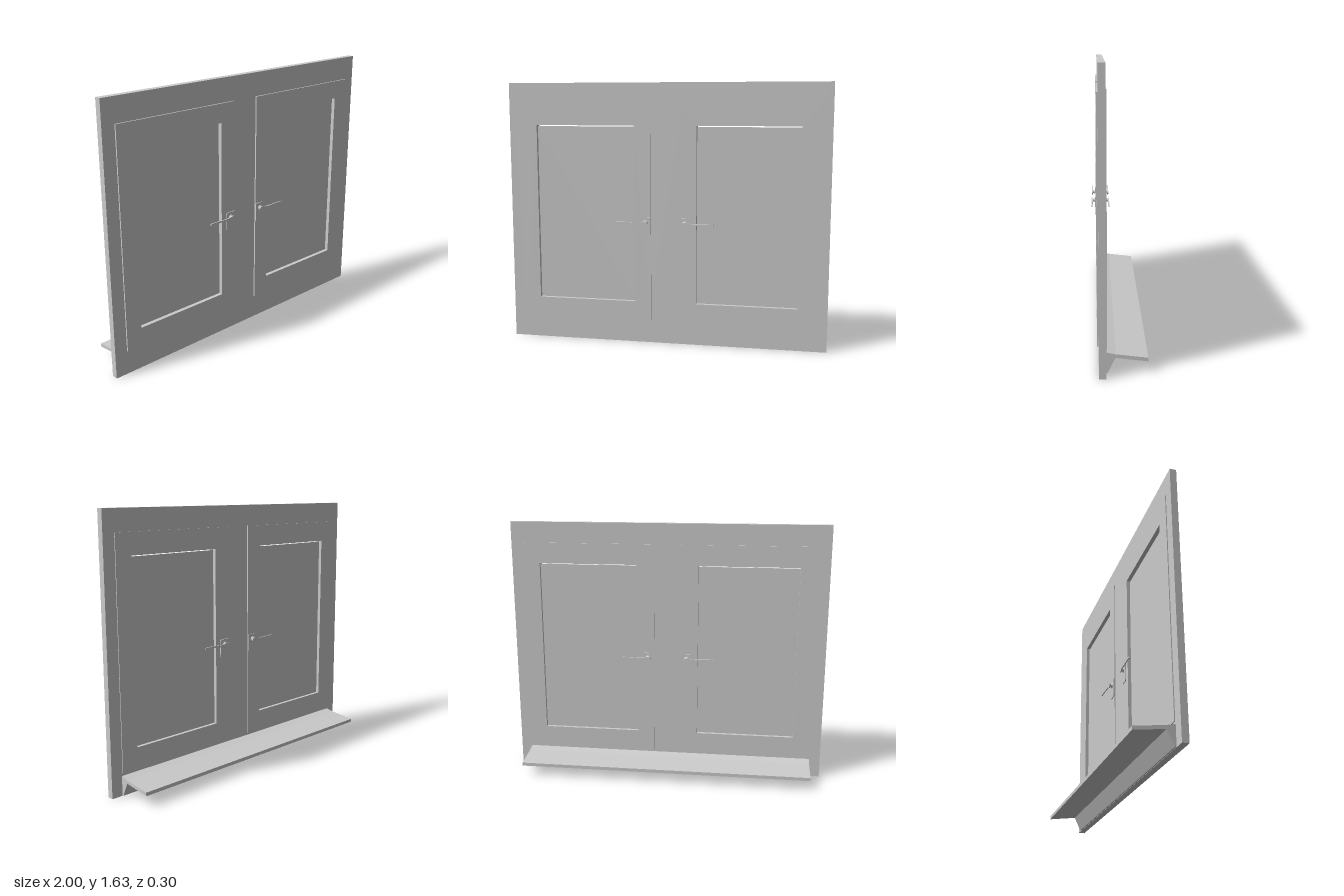
import * as THREE from 'three';

const material = new THREE.MeshStandardMaterial({ color: 0xcccccc, side: THREE.DoubleSide });

function add(parent, name, geometry) {
  const mesh = new THREE.Mesh(geometry, material);
  mesh.name = name;
  parent.add(mesh);
  return mesh;
}

function rect(PathType, x0, x1, y0, y1) {
  const p = new PathType();
  p.moveTo(x0, y0);
  p.lineTo(x1, y0);
  p.lineTo(x1, y1);
  p.lineTo(x0, y1);
  p.closePath();
  return p;
}

// Flat slab between z0 and z1 with rectangular openings
function slab(outer, holes, z0, z1) {
  const shape = rect(THREE.Shape, ...outer);
  shape.holes = holes.map((h) => rect(THREE.Path, ...h));
  return new THREE.ExtrudeGeometry(shape, { depth: z1 - z0, bevelEnabled: false }).translate(0, 0, z0);
}

// Handle facing +z, lever pointing along +x, mounting face at z = 0
function createHandle(name) {
  const handle = new THREE.Group();
  handle.name = name;

  // Back plate with rounded lower corners
  const plate = new THREE.Shape();
  plate.moveTo(-0.035, 0.035);
  plate.lineTo(-0.035, -0.07);
  plate.quadraticCurveTo(-0.035, -0.085, -0.02, -0.087);
  plate.lineTo(0.02, -0.087);
  plate.quadraticCurveTo(0.035, -0.085, 0.035, -0.07);
  plate.lineTo(0.035, 0.02);
  plate.quadraticCurveTo(0.035, 0.033, 0.02, 0.035);
  plate.closePath();
  add(handle, 'handlePlate', new THREE.ExtrudeGeometry(plate, { depth: 0.005, bevelEnabled: false }));

  // Flared spindle
  const profile = [[0.018, 0], [0.018, 0.006], [0.01, 0.01], [0.01, 0.018], [0.014, 0.023]]
    .map(([r, y]) => new THREE.Vector2(r, y));
  add(handle, 'handleSpindle', new THREE.LatheGeometry(profile, 16).rotateX(Math.PI / 2));

  // Gently waved lever with a rounded hub
  const lever = new THREE.Shape();
  lever.moveTo(-0.02, -0.004);
  lever.bezierCurveTo(-0.02, 0.016, 0.005, 0.018, 0.025, 0.008);
  lever.bezierCurveTo(0.07, 0.002, 0.12, 0.012, 0.178, 0.007);
  lever.lineTo(0.178, -0.004);
  lever.bezierCurveTo(0.12, 0.002, 0.07, -0.008, 0.025, -0.006);
  lever.bezierCurveTo(0.005, -0.024, -0.018, -0.02, -0.02, -0.004);
  add(handle, 'handleLever',
    new THREE.ExtrudeGeometry(lever, { depth: 0.007, bevelEnabled: false, curveSegments: 8 }).translate(0, 0, 0.02));
  return handle;
}

// One glazed leaf, on the +x side
function createSash(name) {
  const sash = new THREE.Group();
  sash.name = name;
  const opening = [0.195, 0.82, 0.265, 1.37];
  add(sash, 'sashFront', slab([0.09, 0.92, 0.15, 1.485], [opening], 0.095, 0.124));
  add(sash, 'sashBack', slab([0.085, 0.925, 0.135, 1.5], [opening], 0.071, 0.095));
  add(sash, 'glass', slab([0.195, 0.82, 0.265, 1.363], [], 0.092, 0.1));

  const front = createHandle('frontHandle');
  front.position.set(0.125, 0.768, 0.124);
  const back = createHandle('backHandle');
  back.position.set(0.125, 0.768, 0.071);
  back.scale.z = -1;
  sash.add(front, back);
  return sash;
}

export function createModel() {
  const model = new THREE.Group();
  model.name = 'window';

  // Fixed frame with two openings
  add(model, 'frame', slab([-1, 1, 0, 1.63],
    [[0.11, 0.9, 0.17, 1.46], [-0.9, -0.11, 0.17, 1.46]], 0.076, 0.115));

  const left = createSash('leftSash');
  const right = createSash('rightSash');
  right.scale.x = -1;
  model.add(left, right);

  // Sloping sill with its tapered support, extruded across the width
  const sill = new THREE.Shape([[0.078, 0.12], [0.025, 0.108], [-0.148, 0.087], [-0.148, 0.066],
    [0.027, 0.088], [0.068, 0.002], [0.078, 0.002]].map(([z, y]) => new THREE.Vector2(-z, y)));
  add(model, 'sill', new THREE.ExtrudeGeometry(sill, { depth: 1.86, bevelEnabled: false })
    .translate(0, 0, -0.93).rotateY(Math.PI / 2));

  return model;
}
